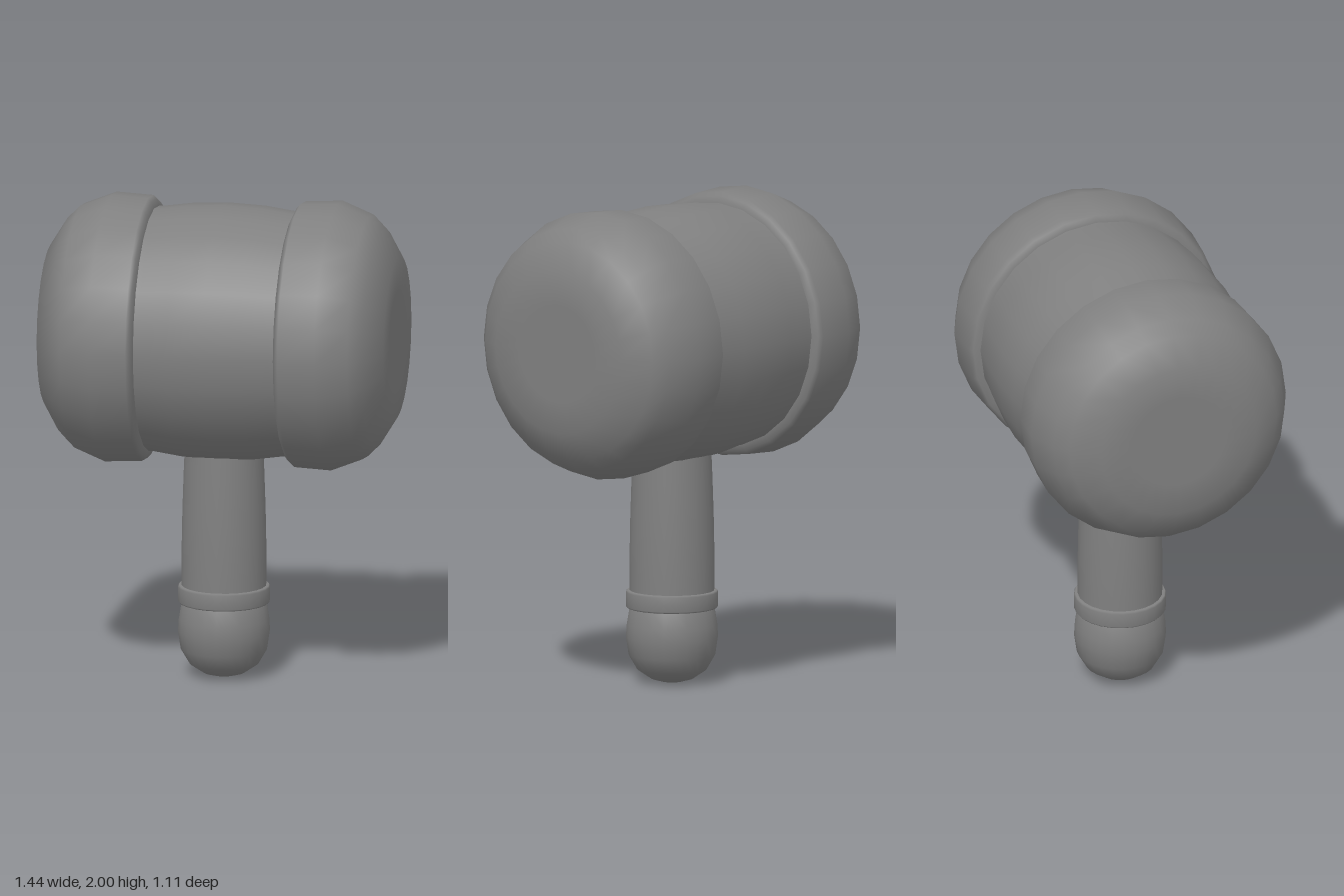
import * as THREE from 'three';

const material = new THREE.MeshStandardMaterial({ color: 0x808080 });
const SIDES = 24;
const HEAD_Y = 1.447;

// Smooth turned part from [radius, height] pairs listed bottom to top
function turned(name, profile) {
  const points = profile.map(([r, y]) => new THREE.Vector2(r, y));
  const mesh = new THREE.Mesh(new THREE.LatheGeometry(points, SIDES), material);
  mesh.name = name;
  return mesh;
}

export function createModel() {
  const model = new THREE.Group();
  model.name = 'mallet';

  // Head, turned upright and then laid along x
  const head = new THREE.Group();
  head.name = 'head';
  head.position.y = HEAD_Y;
  head.rotation.z = -Math.PI / 2;
  model.add(head);

  // Slightly bulging barrel that levels out where it meets the caps
  head.add(turned('barrel', [
    [0.502, -0.34], [0.503, -0.27], [0.52, -0.15], [0.527, 0],
    [0.52, 0.15], [0.503, 0.27], [0.502, 0.34],
  ]));

  // Rounded striking cap at each end
  for (const side of [1, -1]) {
    const cap = turned(side > 0 ? 'leftCap' : 'rightCap', [
      [0.47, 0.288], [0.505, 0.291], [0.53, 0.302], [0.545, 0.316], [0.553, 0.47],
      [0.502, 0.598], [0.45, 0.65], [0.336, 0.72], [0.2, 0.72], [0, 0.72],
    ]);
    if (side < 0) cap.rotation.x = Math.PI;
    head.add(cap);
  }

  // Handle, tapering gently into the head
  model.add(turned('handle', [
    [0.172, 0.28], [0.174, 0.4], [0.174, 0.55], [0.171, 0.7], [0.166, 0.85], [0.159, 1.02],
  ]));

  // Collar ring with softened edges
  model.add(turned('collar', [
    [0.16, 0.309], [0.184, 0.31], [0.189, 0.316], [0.189, 0.346],
    [0.189, 0.375], [0.184, 0.382], [0.16, 0.383],
  ]));

  // Rounded pommel
  model.add(turned('pommel', [
    [0, 0], [0.045, 0.004], [0.087, 0.016], [0.142, 0.053], [0.178, 0.115],
    [0.189, 0.19], [0.186, 0.24], [0.176, 0.3], [0.16, 0.33],
  ]));

  return model;
}
